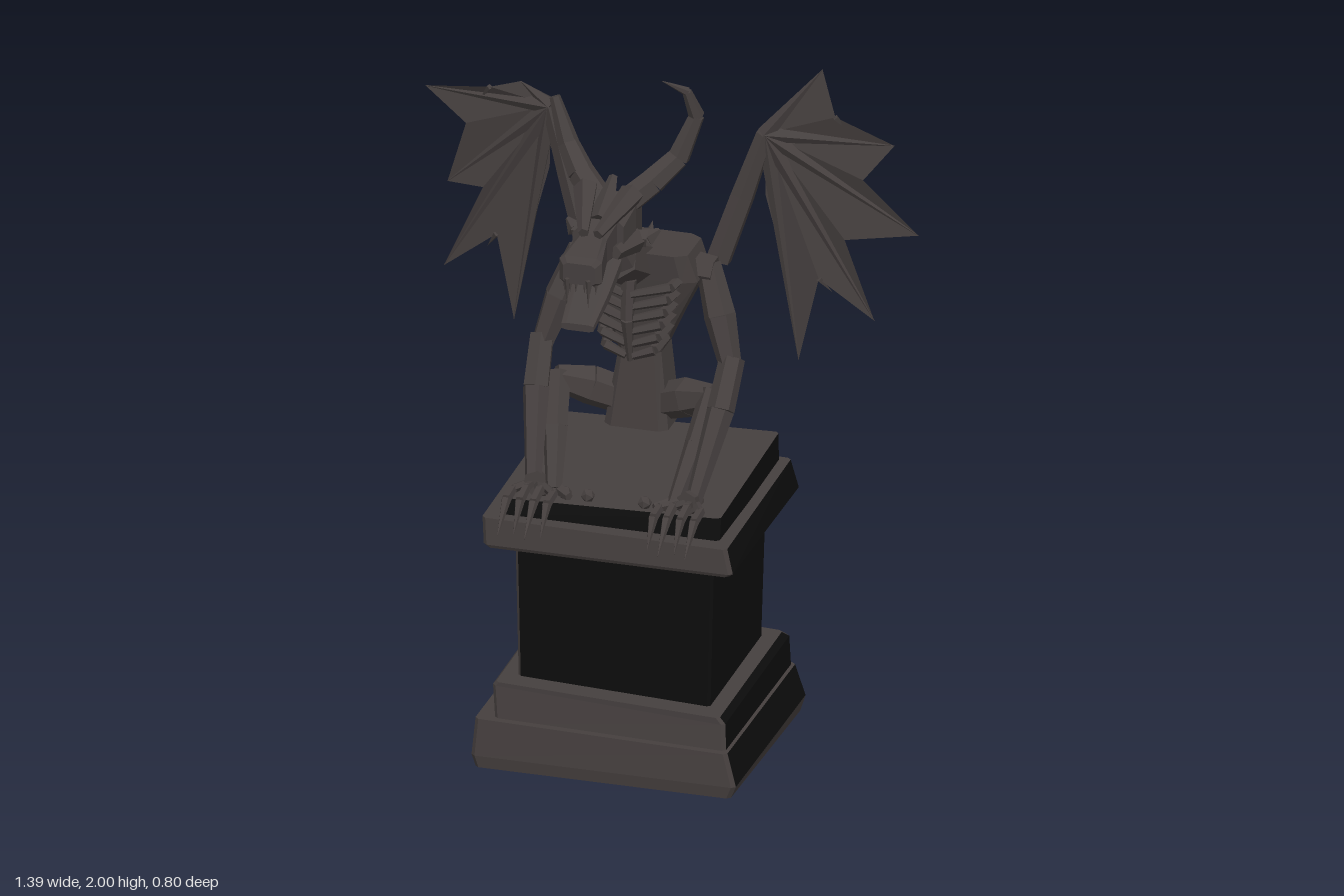
import * as THREE from 'three';
import { mergeGeometries } from 'three/addons/utils/BufferGeometryUtils.js';

const stone = new THREE.MeshStandardMaterial({ color: 0x453f3e, flatShading: true, side: THREE.DoubleSide });
stone.name = 'dark stone';
const black = new THREE.MeshStandardMaterial({ color: 0x0d0d0d, flatShading: true });
black.name = 'blackened stone';
const V = (p) => new THREE.Vector3(...p);

export function createModel() {
  const model = new THREE.Group();
  model.name = 'gargoyle on pedestal';
  const add = (name, geo, mat = stone) => {
    const m = new THREE.Mesh(geo, mat);
    m.name = name;
    model.add(m);
  };

  // One tapered bar between two points
  const bar = (a, b, r0, r1, sides = 6) => {
    const p = V(a), q = V(b), d = q.clone().sub(p);
    const g = new THREE.CylinderGeometry(r1, r0, d.length(), sides);
    g.applyQuaternion(new THREE.Quaternion().setFromUnitVectors(new THREE.Vector3(0, 1, 0), d.clone().normalize()));
    const c = p.add(q).multiplyScalar(0.5);
    return g.translate(c.x, c.y, c.z);
  };
  // Bars along a list of [x, y, z, radius]
  const chain = (pts, sides = 6) => mergeGeometries(pts.slice(1).map((b, i) =>
    bar(pts[i].slice(0, 3), b.slice(0, 3), pts[i][3], b[3], sides)));

  // Loft of chamfered rectangles; section = [at, u0, u1, v0, v1, tiltU, tiltV].
  // isBlack(section, side) sends a side face to the second material.
  const loft = (sections, axis, k, isBlack = () => false) => {
    const shape = [[1, -k], [1, k], [k, 1], [-k, 1], [-1, k], [-1, -k], [-k, -1], [k, -1]];
    const rings = sections.map(([at, u0, u1, v0, v1, tu = 0, tv = 0]) => shape.map(([a, b]) => {
      const u = (u0 + u1) / 2 + a * (u1 - u0) / 2;
      const v = (v0 + v1) / 2 + (axis === 'y' ? -b : b) * (v1 - v0) / 2;
      const w = at + tu * u + tv * v;
      return axis === 'y' ? [u, w, v] : [u, v, w];
    }));
    const g = new THREE.BufferGeometry();
    const pos = [];
    const tri = (...ps) => ps.forEach((p) => pos.push(...p));
    for (let s = 0; s + 1 < rings.length; s++) {
      for (let i = 0; i < 8; i++) {
        const j = (i + 1) % 8, a = rings[s], b = rings[s + 1];
        g.addGroup(pos.length / 3, 6, isBlack(s, i) ? 1 : 0);
        tri(a[i], a[j], b[j]);
        tri(a[i], b[j], b[i]);
      }
    }
    const lo = rings[0], hi = rings[rings.length - 1];
    g.addGroup(pos.length / 3, 36, 0);
    for (let i = 1; i < 7; i++) {
      tri(hi[0], hi[i], hi[i + 1]);
      tri(lo[0], lo[i + 1], lo[i]);
    }
    g.setAttribute('position', new THREE.Float32BufferAttribute(pos, 3));
    g.computeVertexNormals();
    return g;
  };

  // Pedestal of worn, slightly crooked slabs with blackened left and front faces
  const LEFT = 0, RIGHT = 4, FRONT = 6, CORNER = 7;
  const slab = (name, sections, isBlack) => add(name, loft(sections, 'y', 0.97, isBlack), [stone, black]);
  slab('pedestalBase', [[0.01, -0.4, 0.32, -0.4, 0.25, 0, 0.02], [0.05, -0.41, 0.335, -0.4, 0.255],
    [0.15, -0.4, 0.31, -0.385, 0.25, -0.02, 0]], (s, i) => s === 1 && i === LEFT);
  slab('pedestalStep', [[0.14, -0.35, 0.3, -0.38, 0.23], [0.235, -0.36, 0.295, -0.38, 0.22, -0.05, -0.02],
    [0.25, -0.35, 0.28, -0.36, 0.22, -0.04, -0.02]], (s, i) => i === LEFT);
  slab('pedestalColumn', [[0.23, -0.305, 0.235, -0.315, 0.16], [0.67, -0.31, 0.25, -0.31, 0.175]],
    (s, i) => i === LEFT || i === FRONT || i === CORNER);
  slab('pedestalCap', [[0.66, -0.37, 0.31, -0.37, 0.235], [0.67, -0.38, 0.322, -0.38, 0.24],
    [0.75, -0.385, 0.305, -0.36, 0.235, -0.01, -0.03]], (s, i) => i === LEFT);
  slab('pedestalTop', [[0.75, -0.345, 0.275, -0.35, 0.205], [0.812, -0.332, 0.275, -0.345, 0.193, 0.03, -0.05]],
    (s, i) => i === LEFT || i === FRONT || i === RIGHT || i === CORNER);

  // Torso, neck and breastbone
  add('torso', loft([[0.95, -0.12, 0.06, -0.155, -0.01], [1.17, -0.085, 0.035, -0.155, -0.03],
    [1.27, -0.13, 0.08, -0.155, -0.02], [1.4, -0.19, 0.145, -0.16, 0.0],
    [1.48, -0.145, 0.12, -0.155, 0.01]], 'y', 0.75));
  add('neck', chain([[-0.04, 1.42, -0.06, 0.075], [-0.06, 1.49, 0.07, 0.07], [-0.07, 1.57, 0.12, 0.05]]));
  add('breastbone', chain([[-0.03, 1.41, 0.04, 0.022], [-0.03, 1.3, 0.055, 0.018], [-0.03, 1.17, 0.03, 0.008]]));

  // Ribs and spine spikes
  for (let i = 0; i < 6; i++) {
    const y = 1.41 - i * 0.038, w = 0.135 - i * 0.011;
    for (const s of [-1, 1]) {
      add('rib', chain([[-0.03 + s * w, y, -0.04, 0.014], [-0.03 + s * w * 0.85, y - 0.012, 0.03, 0.015],
        [-0.03 + s * 0.01, y - 0.035, 0.055 - i * 0.004, 0.011]], 5));
    }
    const sy = 1.025 + i * 0.075;
    add('spineSpike', bar([-0.05, sy, -0.165], [-0.055, sy + 0.055, -0.262], 0.03, 0, 5));
  }
  add('spine', chain([[-0.04, 0.97, -0.145, 0.03], [-0.05, 1.45, -0.15, 0.03]]));

  // Skull, snout, jaw
  add('skull', loft([[0.0, -0.135, -0.005, 1.52, 1.65], [0.09, -0.145, 0.005, 1.51, 1.69],
    [0.17, -0.135, -0.005, 1.52, 1.65]], 'z', 0.6));
  add('snout', loft([[0.13, -0.12, -0.02, 1.53, 1.66], [0.24, -0.11, -0.03, 1.535, 1.625],
    [0.35, -0.13, -0.01, 1.525, 1.605], [0.365, -0.115, -0.025, 1.53, 1.59]], 'z', 0.75));
  add('jaw', loft([[0.17, -0.13, -0.01, 1.495, 1.535], [0.27, -0.125, -0.015, 1.44, 1.478],
    [0.38, -0.115, -0.025, 1.4, 1.42]], 'z', 0.7));
  add('crest', bar([-0.07, 1.63, 0.17], [-0.07, 1.715, 0.05], 0.04, 0.012, 5));
  for (const s of [-1, 1]) {
    const x = -0.07;
    add('brow', bar([x + s * 0.02, 1.635, 0.26], [x + s * 0.065, 1.69, 0.09], 0.015, 0.035, 5));
    add('cheekbone', bar([x + s * 0.05, 1.56, 0.2], [x + s * 0.07, 1.55, 0.08], 0.02, 0.035, 5));
    add('ear', chain([[x + s * 0.06, 1.56, 0.08, 0.02], [x + s * 0.1, 1.555, 0.07, 0.026], [x + s * 0.13, 1.575, 0.05, 0.006]], 5));
    for (let i = 0; i < 3; i++) {
      const tx = x + s * (0.012 + i * 0.016);
      add('upperTooth', bar([tx, 1.54, 0.35], [tx, 1.5, 0.355], 0.007, 0, 4));
    }
    add('fang', bar([x + s * 0.03, 1.55, 0.378], [x + s * 0.03, 1.47, 0.378], 0.008, 0, 4));
  }

  // Horns, the right one shorter
  add('leftHorn', chain([[-0.03, 1.65, 0.06, 0.04], [0.03, 1.7, 0.02, 0.038], [0.09, 1.76, -0.025, 0.032],
    [0.135, 1.88, -0.045, 0.022], [0.115, 1.96, -0.02, 0.013], [0.058, 2.0, 0.02, 0.001]]));
  add('rightHorn', chain([[-0.11, 1.65, 0.06, 0.04], [-0.17, 1.7, 0.02, 0.038], [-0.22, 1.76, -0.025, 0.03],
    [-0.265, 1.885, -0.045, 0.015]]));

  // Limbs, mirrored about the body's slightly shifted axis
  for (const s of [-1, 1]) {
    const side = s > 0 ? 'left' : 'right';
    const X = (d) => -0.025 + s * d;
    add(side + 'Shoulder', bar([X(0.09), 1.42, -0.08], [X(0.2), 1.41, -0.08], 0.05, 0.042));
    add(side + 'UpperArm', chain([[X(0.18), 1.43, -0.085, 0.035], [X(0.225), 1.3, -0.045, 0.044], [X(0.268), 1.16, -0.01, 0.03]]));
    add(side + 'Forearm', chain([[X(0.268), 1.19, -0.02, 0.035], [X(0.26), 1.07, 0.06, 0.038], [X(0.225), 0.85, 0.2, 0.022]]));
    add(side + 'Thigh', chain([[X(0.03), 1.0, -0.09, 0.05], [X(0.14), 1.05, -0.04, 0.055], [X(0.225), 1.08, 0.0, 0.035]]));
    add(side + 'Shin', chain([[X(0.22), 1.09, -0.01, 0.038], [X(0.2), 0.97, 0.08, 0.035], [X(0.17), 0.835, 0.19, 0.022]]));
    add(side + 'Hand', bar([X(0.225), 0.855, 0.17], [X(0.215), 0.86, 0.225], 0.026, 0.032));
    for (let i = 0; i < 4; i++) {
      const d = X(0.15 + i * 0.038), y = 0.868 - Math.abs(i - 1.5) * 0.008;
      add(side + 'Finger', bar([X(0.195 + i * 0.014), 0.855, 0.21], [d, y, 0.265], 0.011, 0.013, 5));
      add(side + 'Claw', chain([[d, y, 0.255, 0.013], [d, 0.85, 0.32, 0.014], [d, 0.775, 0.375 + (i % 2) * 0.025, 0.001]], 5));
    }
    for (let i = 0; i < 3; i++) {
      add(side + 'Toe', new THREE.IcosahedronGeometry(0.02, 0).translate(X(0.08 + i * 0.065), 0.82, 0.17));
      add(side + 'ToeBone', bar([X(0.17), 0.835, 0.17], [X(0.12 + i * 0.05), 0.83, 0.215], 0.018, 0.012, 5));
    }
  }

  // Wings: arm, finger bones and a folded membrane fanned from the wrist
  const wing = (side, root, wrist, tips, valleys, inner) => {
    const at = (p, dz = 0) => [p[0], p[1], -0.202 - Math.max(0, Math.abs(p[0]) - 0.28) * 0.13 + dz];
    const w = at(wrist);
    add(side + 'WingArm', chain([[...root, 0.036], [(root[0] + w[0]) / 2, (root[1] + w[1]) / 2, -0.19, 0.034], [...w, 0.026]]));
    const edge = [];
    tips.forEach((t, i) => {
      edge.push(at(t));
      if (valleys[i]) edge.push(at(valleys[i], 0.018));
      add(side + 'WingFinger', bar(w, at(t), 0.024, 0.001, 5));
    });
    for (const [x, y] of [valleys[0], valleys[3]]) {
      add(side + 'WingHook', bar(at([x, y], 0.018), [x * 1.07, y - 0.05, -0.235], 0.009, 0, 4));
    }
    edge.push(...inner.map((p) => at(p)));
    const g = new THREE.BufferGeometry();
    g.setAttribute('position', new THREE.Float32BufferAttribute(
      edge.slice(1).flatMap((p, i) => [...w, ...edge[i], ...p]), 3));
    g.computeVertexNormals();
    add(side + 'WingMembrane', g);
  };
  wing('left', [0.16, 1.41, -0.165], [0.28, 1.78],
    [[0.435, 1.98], [0.63, 1.77], [0.695, 1.51], [0.575, 1.25], [0.37, 1.12]],
    [[0.475, 1.85], [0.55, 1.67], [0.5, 1.49], [0.43, 1.37]], [[0.335, 1.38], [0.28, 1.6]]);
  wing('right', [-0.21, 1.41, -0.165], [-0.325, 1.78],
    [[-0.415, 1.835], [-0.695, 1.77], [-0.63, 1.5], [-0.64, 1.25], [-0.435, 1.13]],
    [[-0.5, 1.81], [-0.57, 1.69], [-0.52, 1.51], [-0.48, 1.38]], [[-0.39, 1.38], [-0.33, 1.6]]);

  return model;
}
